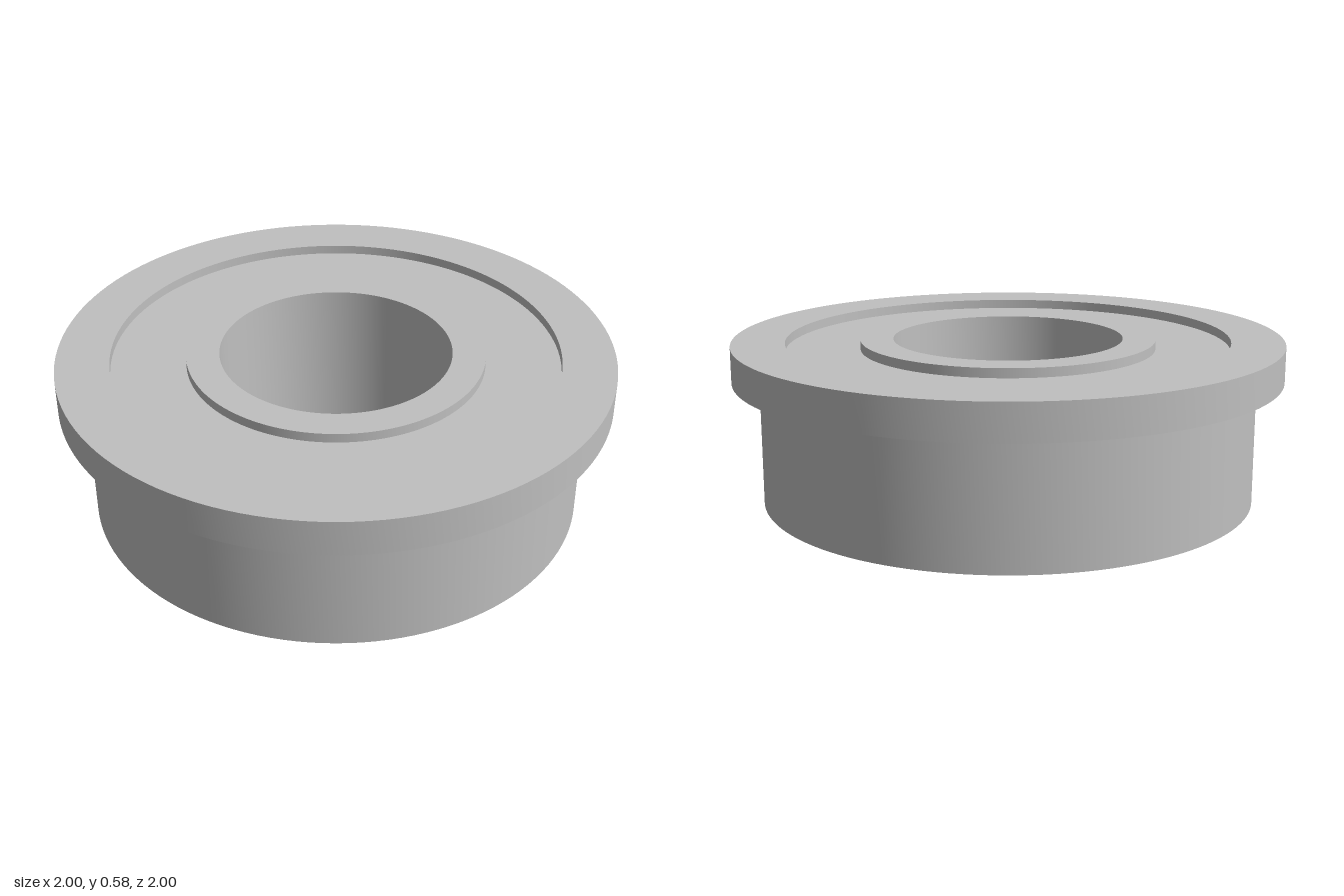
import * as THREE from 'three';
import { toCreasedNormals } from 'three/addons/utils/BufferGeometryUtils.js';

const HEIGHT = 0.585;      // overall height
const RECESS = 0.034;      // depth of the seal below the ring faces
const BORE = 0.418;        // inner ring, inside radius
const INNER = 0.537;       // inner ring, outside radius
const OUTER = 0.807;       // outer ring, inside radius
const BODY = 0.902;        // outer ring, outside radius
const FLANGE = 1;          // flange radius
const FLANGE_BOTTOM = 0.455;

// Revolves a closed counter-clockwise [radius, height] profile with sharp edges
function ring(name, profile, material) {
  const points = [...profile, profile[0]].map(([r, y]) => new THREE.Vector2(r, y));
  const geometry = toCreasedNormals(new THREE.LatheGeometry(points, 128), Math.PI / 6);
  const mesh = new THREE.Mesh(geometry, material);
  mesh.name = name;
  return mesh;
}

// Rectangular cross-section
const band = (r0, r1, y0, y1) => [[r0, y0], [r1, y0], [r1, y1], [r0, y1]];

export function createModel() {
  const steel = new THREE.MeshStandardMaterial({ color: 0xc0c0c0 });
  steel.name = 'steel';

  const bearing = new THREE.Group();
  bearing.name = 'flangedBearing';
  bearing.add(
    // Outer race with the flange at its top
    ring('outerRing', [
      [OUTER, 0], [BODY, 0], [BODY, FLANGE_BOTTOM], [FLANGE, FLANGE_BOTTOM],
      [FLANGE, HEIGHT], [OUTER, HEIGHT],
    ], steel),
    // Inner race around the bore
    ring('innerRing', band(BORE, INNER, 0, HEIGHT), steel),
    // Recessed seal filling the gap between the races
    ring('seal', band(INNER, OUTER, RECESS, HEIGHT - RECESS), steel),
  );
  return bearing;
}
